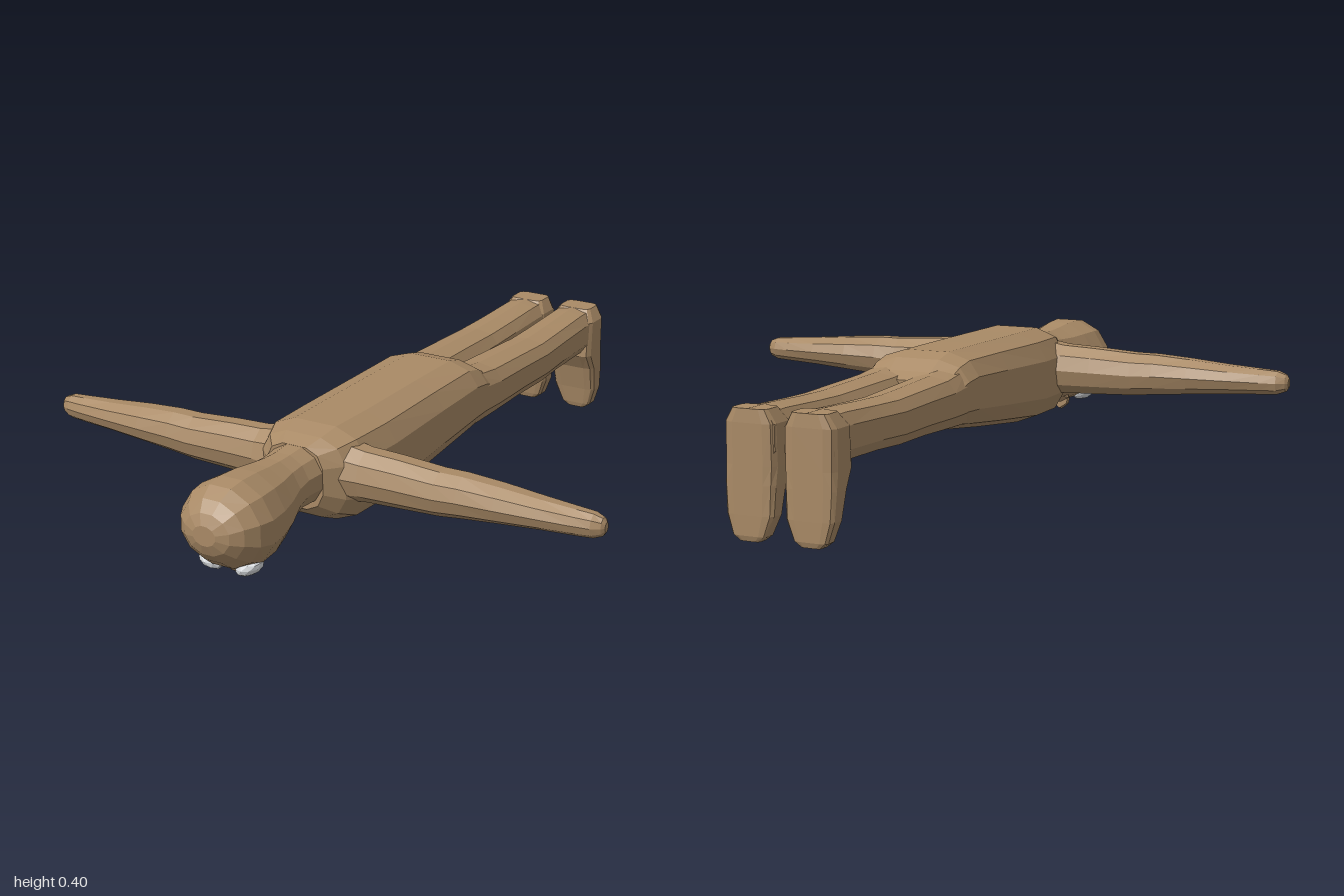
import * as THREE from 'three';

const skin = new THREE.MeshStandardMaterial({ color: 0xa98a66, flatShading: true });
skin.name = 'tan skin';
const white = new THREE.MeshStandardMaterial({ color: 0xdadde0, flatShading: true });
white.name = 'eye white';

// Where (u, v) and the lofting direction t land for each axis
const place = {
  x: (t, u, v) => [t, u, v], // u = y, v = z
  y: (t, u, v) => [v, t, u], // u = z, v = x
  z: (t, u, v) => [u, v, t], // u = x, v = y
};

// Lofts superellipse rings [t, uMin, uMax, vMin, vMax] along an axis; side -1 mirrors in x
function loft(name, axis, rings, { sides = 12, power = 2, side = 1, material = skin } = {}) {
  const positions = [], index = [];
  const add = (t, u, v) => {
    const [x, y, z] = place[axis](t, u, v);
    positions.push(x * side, y, z);
  };
  const face = (a, b, c) => (side > 0 ? index.push(a, b, c) : index.push(a, c, b));
  const soft = (c) => Math.sign(c) * Math.abs(c) ** (2 / power);
  const peak = soft(Math.cos(Math.PI / sides));
  for (const [t, u0, u1, v0, v1] of rings) {
    for (let i = 0; i < sides; i++) {
      const a = ((i + 0.5) / sides) * Math.PI * 2;
      add(t, (u0 + u1) / 2 + (soft(Math.cos(a)) / peak) * (u1 - u0) / 2,
        (v0 + v1) / 2 + (soft(Math.sin(a)) / peak) * (v1 - v0) / 2);
    }
  }
  for (let r = 0; r < rings.length - 1; r++) {
    for (let i = 0; i < sides; i++) {
      const j = (i + 1) % sides, a = r * sides, b = a + sides;
      face(a + i, a + j, b + j);
      face(a + i, b + j, b + i);
    }
  }
  // End caps
  const last = (rings.length - 1) * sides, centre = rings.length * sides;
  for (const [t, u0, u1, v0, v1] of [rings[0], rings[rings.length - 1]]) add(t, (u0 + u1) / 2, (v0 + v1) / 2);
  for (let i = 0; i < sides; i++) {
    const j = (i + 1) % sides;
    face(centre, j, i);
    face(centre + 1, last + i, last + j);
  }
  const geometry = new THREE.BufferGeometry();
  geometry.setAttribute('position', new THREE.Float32BufferAttribute(positions, 3));
  geometry.setIndex(index);
  geometry.computeVertexNormals();
  const mesh = new THREE.Mesh(geometry, material);
  mesh.name = name;
  return mesh;
}

export function createModel() {
  const model = new THREE.Group();
  model.name = 'lyingFigure';

  // Torso, from hips to shoulders
  model.add(loft('torso', 'z', [
    [-0.3, -0.08, 0.08, 0.22, 0.33],
    [-0.26, -0.155, 0.155, 0.19, 0.35],
    [-0.21, -0.163, 0.163, 0.18, 0.38],
    [-0.15, -0.165, 0.165, 0.172, 0.395],
    [0.05, -0.165, 0.165, 0.148, 0.395],
    [0.32, -0.168, 0.168, 0.12, 0.393],
    [0.47, -0.162, 0.162, 0.12, 0.393],
    [0.53, -0.135, 0.135, 0.145, 0.378],
    [0.575, -0.09, 0.09, 0.18, 0.36],
  ], { power: 3 }));

  // Neck and head
  model.add(loft('head', 'z', [
    [0.52, -0.11, 0.11, 0.17, 0.37],
    [0.57, -0.09, 0.09, 0.19, 0.36],
    [0.63, -0.083, 0.083, 0.19, 0.355],
    [0.68, -0.088, 0.088, 0.175, 0.355],
    [0.74, -0.105, 0.105, 0.14, 0.36],
    [0.8, -0.12, 0.12, 0.122, 0.367],
    [0.87, -0.13, 0.13, 0.12, 0.37],
    [0.92, -0.123, 0.123, 0.138, 0.363],
    [0.96, -0.1, 0.1, 0.168, 0.34],
    [0.985, -0.07, 0.07, 0.195, 0.31],
    [0.998, -0.035, 0.035, 0.225, 0.28],
  ]));

  // Nose and mouth on the downward face
  model.add(loft('nose', 'z', [
    [0.81, -0.026, 0.026, 0.09, 0.15],
    [0.83, -0.024, 0.024, 0.085, 0.15],
    [0.885, -0.008, 0.008, 0.118, 0.15],
  ], { sides: 6 }));
  model.add(loft('mouth', 'z', [
    [0.765, -0.03, 0.03, 0.122, 0.16],
    [0.78, -0.045, 0.045, 0.112, 0.16],
    [0.8, -0.03, 0.03, 0.11, 0.16],
  ], { sides: 8 }));

  for (const side of [1, -1]) {
    const label = side > 0 ? 'left' : 'right';

    const eye = new THREE.Mesh(new THREE.IcosahedronGeometry(1, 1), white);
    eye.name = label + 'Eye';
    eye.scale.set(0.04, 0.024, 0.042);
    eye.rotation.z = side * 0.45;
    eye.position.set(side * 0.058, 0.136, 0.88);
    model.add(eye);

    // Arm stretched sideways
    model.add(loft(label + 'Arm', 'x', [
      [0.09, 0.19, 0.36, 0.39, 0.545],
      [0.17, 0.2, 0.347, 0.4, 0.535],
      [0.27, 0.203, 0.343, 0.4, 0.532],
      [0.4, 0.208, 0.335, 0.403, 0.53],
      [0.47, 0.215, 0.335, 0.402, 0.527],
      [0.58, 0.224, 0.328, 0.403, 0.522],
      [0.7, 0.233, 0.318, 0.413, 0.512],
      [0.8, 0.238, 0.312, 0.424, 0.502],
      [0.85, 0.241, 0.309, 0.43, 0.495],
      [0.875, 0.25, 0.3, 0.442, 0.482],
      [0.883, 0.262, 0.288, 0.452, 0.472],
    ], { sides: 10, side }));

    // Leg
    model.add(loft(label + 'Leg', 'z', [
      [-0.985, 0.014, 0.158, 0.2, 0.345],
      [-0.88, 0.016, 0.156, 0.205, 0.345],
      [-0.72, 0.016, 0.16, 0.205, 0.338],
      [-0.6, 0.015, 0.165, 0.2, 0.335],
      [-0.45, 0.01, 0.164, 0.2, 0.34],
      [-0.3, 0.003, 0.164, 0.195, 0.345],
      [-0.18, 0.0, 0.16, 0.19, 0.36],
    ], { sides: 10, power: 2.8, side }));

    // Foot with its flat sole facing back
    model.add(loft(label + 'Foot', 'y', [
      [0.0, -0.992, -0.95, 0.06, 0.12],
      [0.015, -0.997, -0.945, 0.04, 0.14],
      [0.07, -0.998, -0.935, 0.018, 0.158],
      [0.15, -0.998, -0.913, 0.014, 0.163],
      [0.2, -0.998, -0.88, 0.012, 0.163],
      [0.31, -0.998, -0.89, 0.014, 0.163],
      [0.347, -0.996, -0.92, 0.035, 0.14],
    ], { sides: 12, power: 5, side }));
  }
  return model;
}
